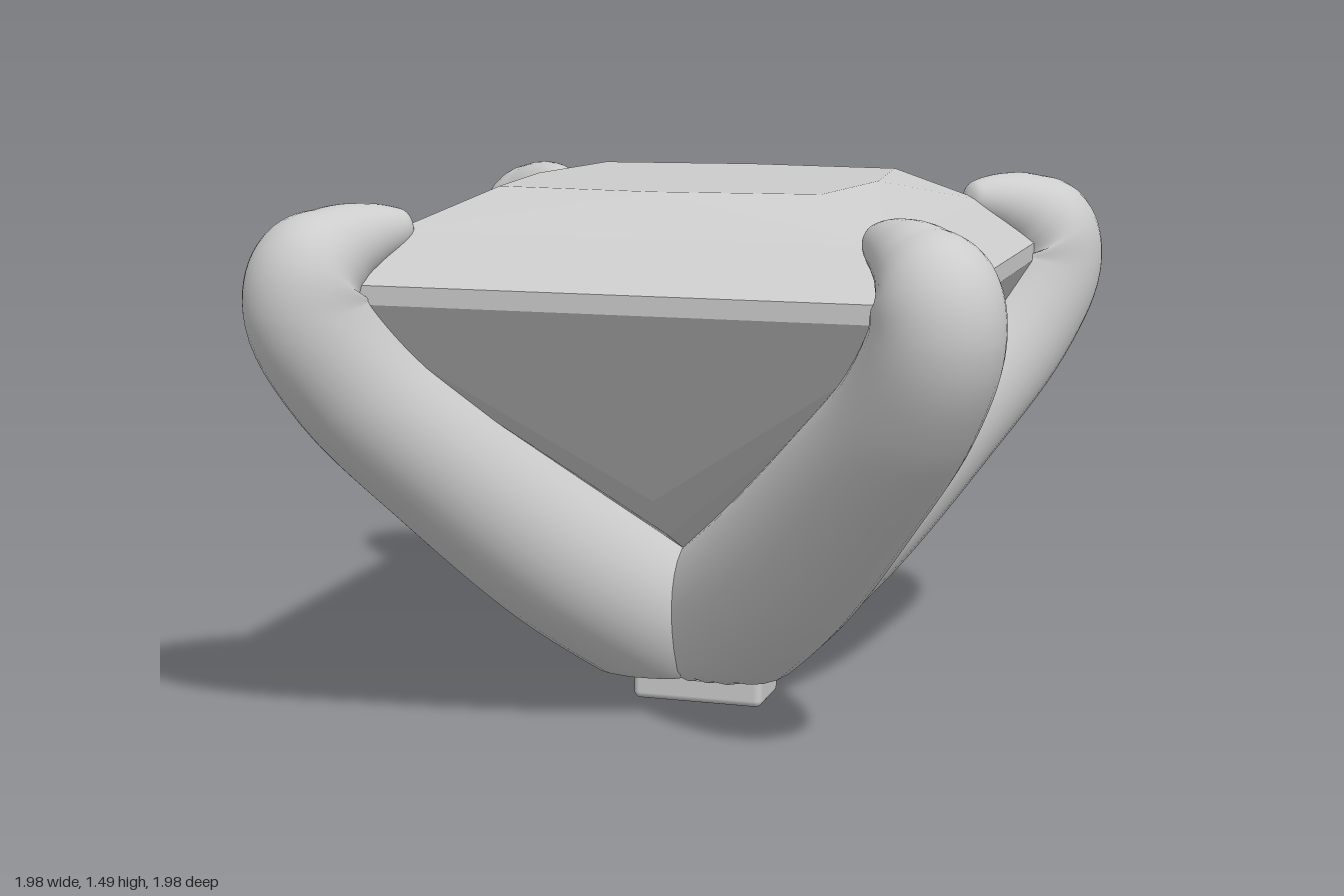
import * as THREE from 'three';
import { RoundedBoxGeometry } from 'three/addons/geometries/RoundedBoxGeometry.js';

// Square-cut stone: one side's facets, repeated four times around y
function stoneGeometry() {
  const v = (x, y, z) => new THREE.Vector3(x, y, z);
  const pair = (s, y) => [v(-s, y, s), v(s, y, s)];
  const [g0, g1] = pair(0.81, 1.21); // girdle bottom
  const [h0, h1] = pair(0.81, 1.26); // girdle top
  const [b0, b1] = pair(0.655, 1.385); // crown break
  const [t0, t1] = pair(0.44, 1.49); // table corners
  const tm = v(0, 1.49, 0.49), centre = v(0, 1.49, 0);
  const m = v(0, 0.67, 0.49), n = v(0, 0.55, 0.36), culet = v(0, 0.38, 0);
  const side = [
    g0, g1, h1, g0, h1, h0,
    h0, h1, b1, h0, b1, b0,
    b0, b1, tm, b1, t1, tm, b0, tm, t0,
    centre, t0, tm, centre, tm, t1,
    g1, g0, m, g0, n, m, g1, m, n,
    g0, culet, n, g1, n, culet,
  ];
  const points = [];
  const up = v(0, 1, 0);
  for (let k = 0; k < 4; k++) {
    for (const p of side) points.push(p.clone().applyAxisAngle(up, k * Math.PI / 2));
  }
  const geo = new THREE.BufferGeometry().setFromPoints(points);
  geo.computeVertexNormals(); // unshared corners keep the facets flat
  return geo;
}

// Hooked claw: round sections of varying radius along a path in the xy plane
function clawGeometry() {
  const path = new THREE.CatmullRomCurve3([
    // distance from axis, height, radius
    [-0.12, 0.08, 0.23], [0, 0.18, 0.235], [0.14, 0.27, 0.235], [0.44, 0.47, 0.225],
    [0.78, 0.75, 0.2], [1.05, 1.0, 0.178], [1.165, 1.19, 0.167], [1.15, 1.29, 0.158],
    [1.08, 1.345, 0.12], [1.0, 1.375, 0.09], [0.92, 1.39, 0.06], [0.887, 1.393, 0.04],
    [0.872, 1.394, 0],
  ].map((p) => new THREE.Vector3(...p)));
  const steps = 96, sides = 32, floor = 0.115;
  const pos = [], index = [];
  for (let i = 0; i <= steps; i++) {
    const c = path.getPoint(i / steps);
    const t = path.getTangent(i / steps).setZ(0).normalize();
    const r = Math.max(c.z, 0.0005);
    for (let j = 0; j < sides; j++) {
      const a = (j / sides) * Math.PI * 2;
      const out = r * Math.cos(a);
      // the underside is flattened above the peg
      pos.push(c.x - t.y * out, Math.max(floor, c.y + t.x * out), r * Math.sin(a));
      if (i < steps) {
        const k = i * sides + j, l = i * sides + (j + 1) % sides;
        index.push(k, l, k + sides, l, l + sides, k + sides);
      }
    }
  }
  const geo = new THREE.BufferGeometry();
  geo.setAttribute('position', new THREE.Float32BufferAttribute(pos, 3));
  geo.setIndex(index);
  geo.computeVertexNormals();
  return geo;
}

export function createModel() {
  const model = new THREE.Group();
  model.name = 'claw-set gemstone';
  const silver = new THREE.MeshStandardMaterial({ color: 0xcccccc });
  silver.name = 'silver grey';
  const add = (name, geo) => {
    const mesh = new THREE.Mesh(geo, silver);
    mesh.name = name;
    model.add(mesh);
    return mesh;
  };

  add('stone', stoneGeometry());

  // Four claws on the diagonals
  const claw = clawGeometry();
  for (let k = 0; k < 4; k++) {
    add('claw' + (k + 1), claw).rotation.y = Math.PI / 4 + k * Math.PI / 2;
  }

  // Mounting peg under the claws
  add('peg', new RoundedBoxGeometry(0.38, 0.16, 0.19, 4, 0.02)).position.y = 0.08;
  return model;
}
